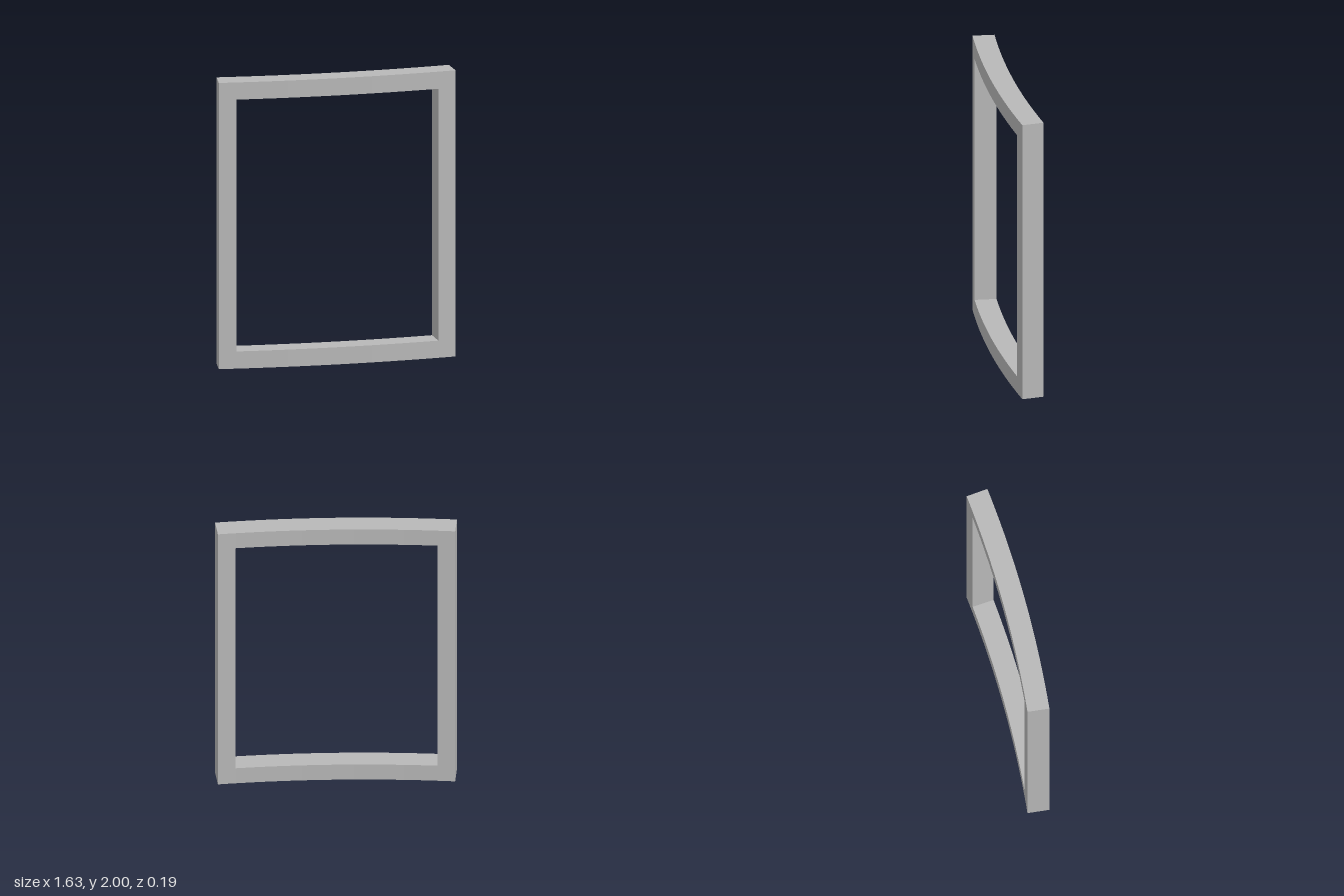
import * as THREE from 'three';

const R_FRONT = 8, R_BACK = 7.85;   // radii of the gently bowed front and back
const CENTRE_Z = -7.9045;           // axis of the bow
const OUTER = 0.1023, INNER = 0.0872; // half angles of frame and opening
const HEIGHT = 2, RAIL = 0.12;

// Ring sector between two angles, extruded upwards
function bowedBar(a0, a1, y0, y1, segments) {
  const points = [];
  const add = (r, a) => points.push(new THREE.Vector2(r * Math.sin(a), -(CENTRE_Z + r * Math.cos(a))));
  for (let i = 0; i <= segments; i++) add(R_FRONT, a0 + (a1 - a0) * i / segments);
  for (let i = segments; i >= 0; i--) add(R_BACK, a0 + (a1 - a0) * i / segments);
  const geometry = new THREE.ExtrudeGeometry(new THREE.Shape(points), { depth: y1 - y0, bevelEnabled: false });
  geometry.rotateX(-Math.PI / 2);
  geometry.translate(0, y0, 0);
  return geometry;
}

export function createModel() {
  const group = new THREE.Group();
  group.name = 'bowedFrame';
  const grey = new THREE.MeshStandardMaterial({ color: 0xb8b8b8 });
  grey.name = 'frameGrey';

  const addPart = (name, geometry) => {
    const mesh = new THREE.Mesh(geometry, grey);
    mesh.name = name;
    group.add(mesh);
  };

  // Full-height uprights
  addPart('leftStile', bowedBar(INNER, OUTER, 0, HEIGHT, 2));
  addPart('rightStile', bowedBar(-OUTER, -INNER, 0, HEIGHT, 2));
  // Curved rails between them
  addPart('bottomRail', bowedBar(-INNER, INNER, 0, RAIL, 12));
  addPart('topRail', bowedBar(-INNER, INNER, HEIGHT - RAIL, HEIGHT, 12));
  return group;
}
